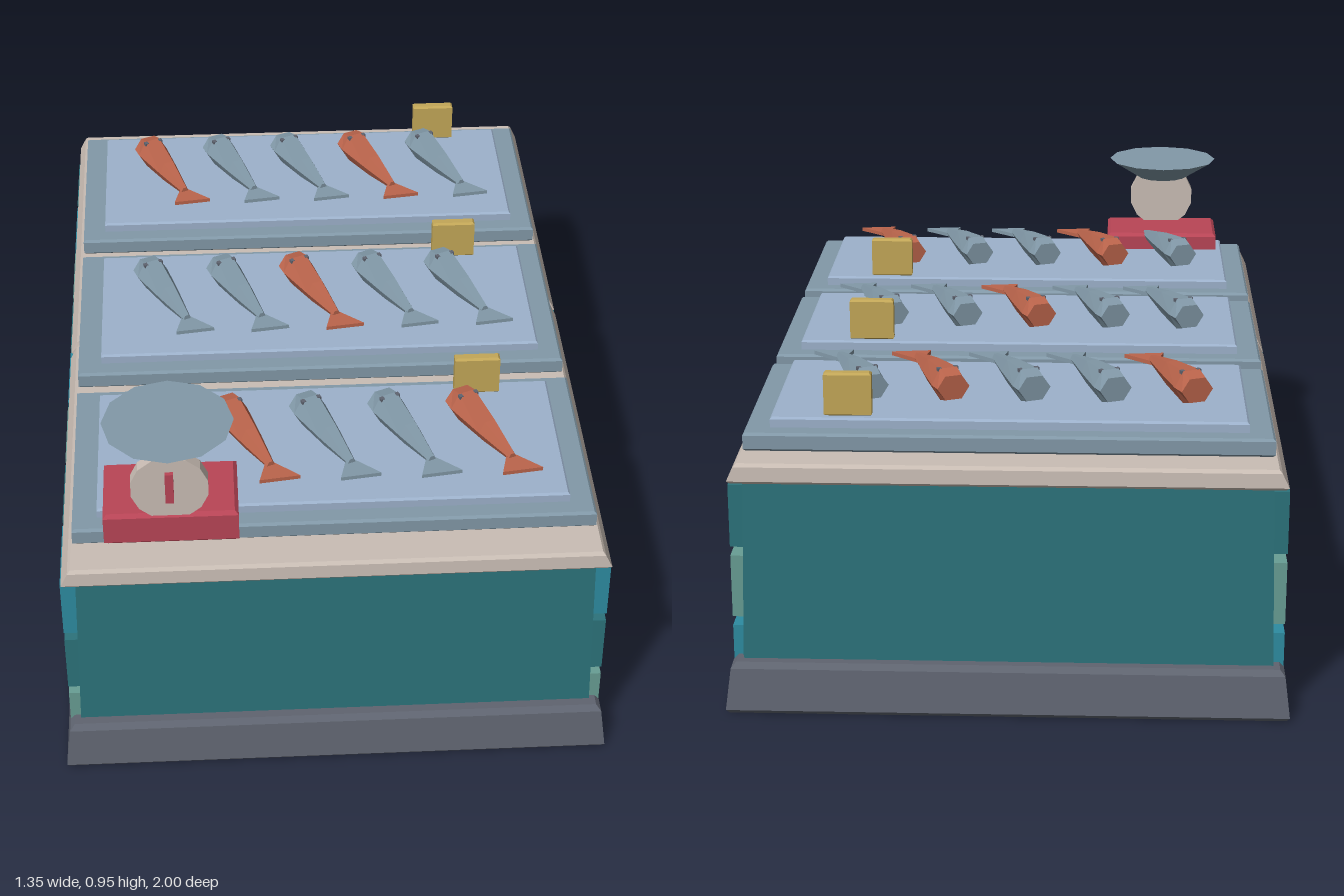
import * as THREE from 'three';

const paint = (name, color) => {
  const m = new THREE.MeshStandardMaterial({ color });
  m.name = name;
  return m;
};

// Closed solid from stacked rings; each ring is { y, pts: [[x, z], ...] }, counter-clockwise from above
function loft(rings) {
  const pos = [];
  const n = rings[0].pts.length;
  const at = (r, k) => [r.pts[k % n][0], r.y, r.pts[k % n][1]];
  const mid = (r) => [
    r.pts.reduce((s, p) => s + p[0], 0) / n, r.y,
    r.pts.reduce((s, p) => s + p[1], 0) / n];
  const first = rings[0], last = rings[rings.length - 1];
  for (let k = 0; k < n; k++) {
    for (let i = 0; i < rings.length - 1; i++) {
      const a = at(rings[i], k), b = at(rings[i], k + 1);
      const c = at(rings[i + 1], k + 1), d = at(rings[i + 1], k);
      pos.push(...a, ...b, ...c, ...a, ...c, ...d);
    }
    pos.push(...mid(last), ...at(last, k), ...at(last, k + 1));
    pos.push(...mid(first), ...at(first, k + 1), ...at(first, k));
  }
  const g = new THREE.BufferGeometry();
  g.setAttribute('position', new THREE.Float32BufferAttribute(pos, 3));
  g.computeVertexNormals();
  return g;
}

const rect = (y, hx, hz) => ({ y, pts: [[hx, hz], [hx, -hz], [-hx, -hz], [-hx, hz]] });
// Box from layers of [y, half width, half depth]
const stack = (layers) => loft(layers.map((l) => rect(...l)));
// Box standing on y = 0 with small chamfers at top and bottom
const slab = (w, h, d, c) => stack([
  [0, w / 2 - c, d / 2 - c], [c, w / 2, d / 2], [h - c, w / 2, d / 2], [h, w / 2 - c, d / 2 - c]]);

export function createModel() {
  const model = new THREE.Group();
  model.name = 'fishStall';

  const charcoal = paint('charcoal', 0x5f6470);
  const teal = paint('teal', 0x2c737b);
  const blue = paint('blue', 0x2e8ca1);
  const sage = paint('sage', 0x689e94);
  const cream = paint('cream', 0xcabeb5);
  const steel = paint('steel', 0x8299a8);
  const ice = paint('ice', 0x9db2cc);
  const salmon = paint('salmon', 0xbc654c);
  const red = paint('red', 0xb94556);
  const gold = paint('gold', 0xc3a758);

  const add = (parent, name, geometry, material, x = 0, y = 0, z = 0) => {
    const m = new THREE.Mesh(geometry, material);
    m.name = name;
    m.position.set(x, y, z);
    parent.add(m);
    return m;
  };

  // Plinth and cabinet
  add(model, 'plinth', stack([
    [0, 0.667, 0.992], [0.01, 0.675, 1], [0.112, 0.662, 0.985], [0.125, 0.65, 0.972]]), charcoal);
  add(model, 'cabinet', stack([[0.12, 0.635, 0.95], [0.585, 0.623, 0.94]]), teal);

  // Countertop with a small chip in each long edge
  const top = (y, hx, hz) => ({
    y,
    pts: [[hx, hz], [hx, -0.052], [0.626, -0.056], [0.626, -0.07], [hx, -0.076], [hx, -hz],
      [-hx, -hz], [-hx, 0.052], [-0.626, 0.056], [-0.626, 0.07], [-hx, 0.076], [-hx, hz]],
  });
  add(model, 'countertop', loft([
    top(0.58, 0.648, 0.97), top(0.587, 0.656, 0.976), top(0.622, 0.639, 0.974), top(0.63, 0.632, 0.967)]), cream);

  // Tiles on both long sides
  const tileColours = [blue, teal, sage];
  const tileGeometry = new THREE.BoxGeometry(0.05, 0.157, 0.214);
  for (const side of [-1, 1]) {
    for (let row = 0; row < 3; row++) {
      for (let col = 0; col < 8; col++) {
        add(model, 'tile', tileGeometry, tileColours[(row + col) % 3],
          side * 0.636, 0.482 - row * 0.18, 0.833 - col * 0.2362);
      }
    }
  }

  // Fish: six-sided tapering body, flat tail, two eyes
  const hex = (y, w, h) => ({
    y, pts: [[w, 0], [w * 0.5, -h], [-w * 0.5, -h], [-w, 0], [-w * 0.5, h], [w * 0.5, h]],
  });
  const bodyGeometry = loft([
    hex(0, 0.041, 0.03), hex(0.035, 0.043, 0.04), hex(0.15, 0.028, 0.029), hex(0.265, 0.01, 0.01)]);
  bodyGeometry.rotateX(Math.PI / 2);
  const tailPoints = [[0.008, 0.25], [-0.008, 0.25], [-0.048, 0.304], [0.048, 0.33]];
  const tailGeometry = loft([{ y: -0.005, pts: tailPoints }, { y: 0.005, pts: tailPoints }]);
  const eyeGeometry = new THREE.BoxGeometry(0.01, 0.008, 0.012);

  const addFish = (parent, x, z, material) => {
    const fish = new THREE.Group();
    fish.name = 'fish';
    fish.position.set(x, 0.742, z);
    fish.rotation.y = 0.403;
    add(fish, 'fishBody', bodyGeometry, material);
    add(fish, 'fishTail', tailGeometry, material, 0, -0.006, 0);
    for (const s of [-1, 1]) add(fish, 'fishEye', eyeGeometry, charcoal, s * 0.021, 0.036, 0.042);
    parent.add(fish);
  };

  // Three trays of ice, each with five fish and a price tag
  const trayGeometry = slab(1.256, 0.045, 0.54, 0.006);
  const iceGeometry = slab(1.136, 0.035, 0.45, 0.005);
  const tagGeometry = slab(0.114, 0.108, 0.028, 0.005);
  const salmonSpots = [[0, 3], [2], [1, 4]];
  salmonSpots.forEach((spots, i) => {
    const z = -0.616 + i * 0.612;
    const tray = new THREE.Group();
    tray.name = 'fishTray';
    tray.position.z = z;
    add(tray, 'trayBase', trayGeometry, steel, 0, 0.63, 0);
    add(tray, 'iceBed', iceGeometry, ice, 0, 0.665, 0);
    add(tray, 'priceTag', tagGeometry, gold, 0.384, 0.698, -0.194);
    for (let k = 0; k < 5; k++) {
      addFish(tray, -0.447 + k * 0.195, -0.113, spots.includes(k) ? salmon : steel);
    }
    model.add(tray);
  });

  // Weighing scale at the front right corner
  const scale = new THREE.Group();
  scale.name = 'weighingScale';
  scale.position.set(-0.39, 0, 0.815);
  add(scale, 'scaleBase', slab(0.32, 0.09, 0.2, 0.009), red, 0, 0.657, 0);
  const dial = new THREE.CylinderGeometry(0.093, 0.093, 0.032, 14).toNonIndexed();
  dial.rotateX(Math.PI / 2);
  dial.computeVertexNormals();
  add(scale, 'scaleDial', dial, cream, 0, 0.822, 0.08);
  add(scale, 'dialNeedle', new THREE.BoxGeometry(0.02, 0.085, 0.012), red, 0, 0.83, 0.101);
  const pan = new THREE.CylinderGeometry(0.155, 0.07, 0.053, 12).toNonIndexed();
  pan.computeVertexNormals();
  add(scale, 'scalePan', pan, steel, 0, 0.925, 0.005);
  model.add(scale);

  return model;
}
